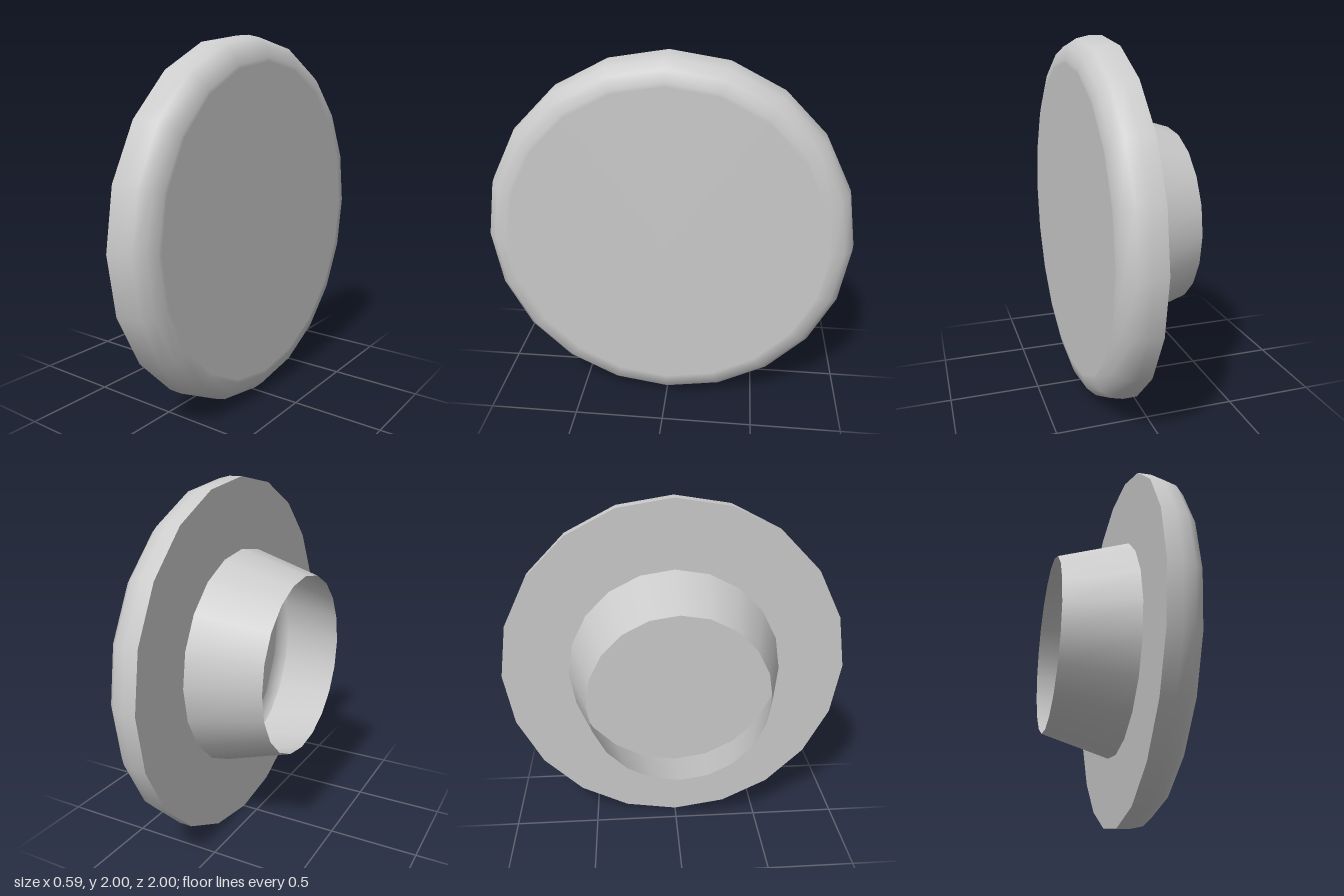
import * as THREE from 'three';

const SIDES = 20;

export function createModel() {
  const model = new THREE.Group();
  model.name = 'flangedKnob';
  const material = new THREE.MeshStandardMaterial({ color: 0xcccccc, side: THREE.DoubleSide });

  // Turns a [radius, x] profile around the horizontal x axis
  const turn = (name, profile) => {
    const points = profile.map(([r, x]) => new THREE.Vector2(r, x));
    const geometry = new THREE.LatheGeometry(points, SIDES);
    geometry.rotateZ(-Math.PI / 2);
    geometry.translate(0, 1, 0);
    const mesh = new THREE.Mesh(geometry, material);
    mesh.name = name;
    model.add(mesh);
  };

  // Thin hollow collar, open at its narrow end
  turn('collar', [[0.5, -0.295], [0.615, 0.09]]);

  // Flat ring around the collar; the disc is hollow behind it
  turn('backRing', [[0.615, 0.09], [1, 0.09]]);

  // Rounded edge running into the flat face
  turn('disc', [
    [1, 0.09], [1, 0.165], [0.985, 0.23], [0.94, 0.278],
    [0.88, 0.295], [0.86, 0.295], [0, 0.295],
  ]);

  return model;
}
